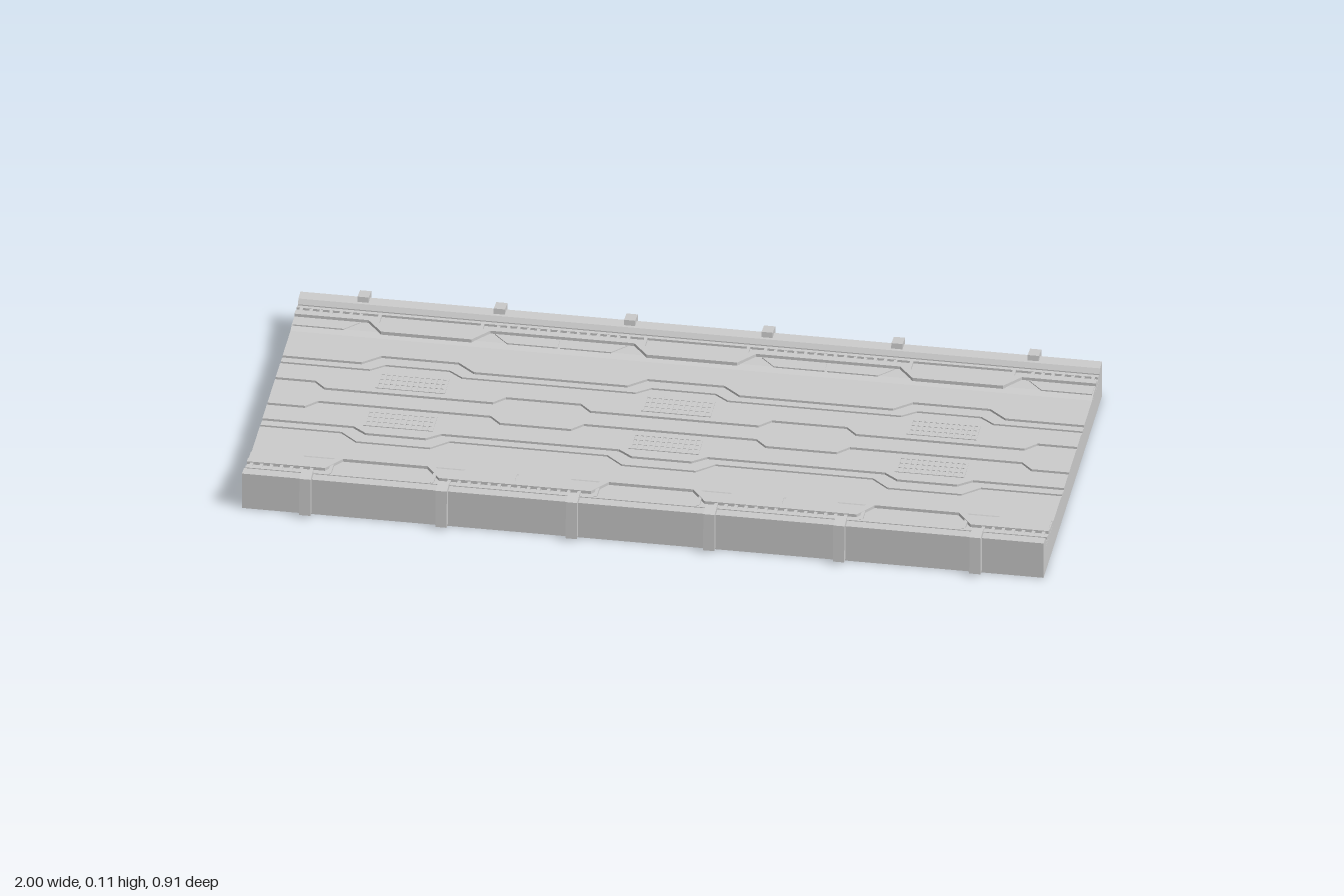
import * as THREE from 'three';

const CENTRES = [-0.663, 0, 0.663];

export function createModel() {
  const model = new THREE.Group();
  const mat = new THREE.MeshStandardMaterial({ color: 0xcccccc, flatShading: true });

  function add(name, geo) {
    const mesh = new THREE.Mesh(geo, mat);
    mesh.name = name;
    model.add(mesh);
    return mesh;
  }
  function box(name, w, h, d, x, y, z) {
    add(name, new THREE.BoxGeometry(w, h, d)).position.set(x, y, z);
  }
  // Flat plate with an [x, z] outline, standing from y0 to y1
  function plate(name, outline, y0, y1) {
    const shape = new THREE.Shape(outline.map(([x, z]) => new THREE.Vector2(x, -z)));
    const geo = new THREE.ExtrudeGeometry(shape, { depth: y1 - y0, bevelEnabled: false });
    add(name, geo.rotateX(-Math.PI / 2).translate(0, y0, 0));
  }
  // A [z, y] section swept along x
  function bar(name, section, width, x = 0) {
    const shape = new THREE.Shape(section.map(([z, y]) => new THREE.Vector2(z, y)));
    const geo = new THREE.ExtrudeGeometry(shape, { depth: width, bevelEnabled: false });
    add(name, geo.rotateY(-Math.PI / 2).translate(x + width / 2, 0, 0));
  }
  // Stepped line along x: it moves from z = base to z = peak around each centre
  function wave(base, peak, flat, foot) {
    const pts = [[-1, base]];
    for (const c of CENTRES) {
      pts.push([c - foot, base], [c - flat, peak], [c + flat, peak], [c + foot, base]);
    }
    pts.push([1, base]);
    return pts;
  }
  const side = (pts, s) => pts.map(([x, z]) => [x, z * s]);
  const between = (a, b, s) => side([...a, ...[...b].reverse()], s);

  // Core slab; its top is the floor of the grooves
  box('slab', 2, 0.069, 0.82, 0, 0.0345, 0);

  // Lines bounding the deck plates, from the middle outwards
  const mid = wave(0.056, 0.027, 0.215, 0.243);
  const midOuter = wave(0.066, 0.037, 0.21, 0.238);
  const inner = wave(0.131, 0.158, 0.075, 0.11);
  const innerOuter = wave(0.143, 0.17, 0.08, 0.115);
  const outer = wave(0.16, 0.198, 0.092, 0.135);
  const outerOuter = wave(0.17, 0.208, 0.096, 0.14);
  const deckEdge = [[-1, 0.3], [1, 0.3]];
  const ridgeIn = wave(0.345, 0.297, 0.113, 0.152);
  const ridgeOut = wave(0.362, 0.312, 0.105, 0.142);

  plate('centrePlate', [...mid, ...side([...mid].reverse(), -1)], 0.068, 0.075);

  for (const s of [1, -1]) {
    plate('walkwayPlate', between(midOuter, inner, s), 0.068, 0.075);
    plate('grooveStrip', between(innerOuter, outer, s), 0.068, 0.0735);
    plate('outerPlate', between(outerOuter, deckEdge, s), 0.068, 0.075);

    // Raised step along the edge, with a stepped ridge on top
    bar('edgeStep', [[0.288 * s, 0.07], [0.288 * s, 0.075], [0.305 * s, 0.082],
      [0.405 * s, 0.082], [0.405 * s, 0.07]], 2);
    plate('edgeRidge', between(ridgeIn, ridgeOut, s), 0.081, 0.09);
    box('outerRail', 2, 0.007, 0.01, 0, 0.0845, 0.383 * s);

    // Kerb
    bar('kerb', [[0.398 * s, 0], [0.398 * s, 0.085], [0.406 * s, 0.097],
      [0.436 * s, 0.099], [0.436 * s, 0]], 2);

    // Clips hooked over the kerb
    for (const x of [-0.84, -0.5, -0.175, 0.168, 0.492, 0.832]) {
      bar('kerbClip', [[0.43 * s, 0.007], [0.43 * s, 0.097], [0.411 * s, 0.099],
        [0.413 * s, 0.113], [0.452 * s, 0.108], [0.457 * s, 0.007]], 0.028, x);
    }

    for (const c of CENTRES) {
      // Tread grille beside the centre groove
      for (let i = 0; i < 13; i++) {
        box('grilleBar', 0.006, 0.003, 0.07, c - 0.084 + i * 0.014, 0.0758, 0.09 * s);
      }
      for (let j = 0; j < 4; j++) {
        box('grilleCrossBar', 0.174, 0.002, 0.005, c, 0.0757, (0.058 + j * 0.0213) * s);
      }
      // Short upright brackets at both ends of each bay
      for (const e of [-1, 1]) {
        box('bayBracket', 0.008, 0.008, 0.045, c + e * 0.128, 0.085, 0.361 * s);
      }
    }

    // Split panels and ladder cells between the bays
    for (const c of [-1, -0.333, 0.333, 1]) {
      for (const e of [-1, 1]) {
        if (Math.abs(c + e * 0.1) > 1) continue;
        plate('edgePanel', side([[c + e * 0.003, 0.303], [c + e * 0.13, 0.303],
          [c + e * 0.165, 0.34], [c + e * 0.003, 0.34]], s), 0.081, 0.0845);
        for (let i = 0; i < 7; i++) {
          box('ladderRung', 0.008, 0.006, 0.018, c + e * (0.012 + i * 0.025), 0.0845, 0.371 * s);
        }
      }
    }
  }
  return model;
}
